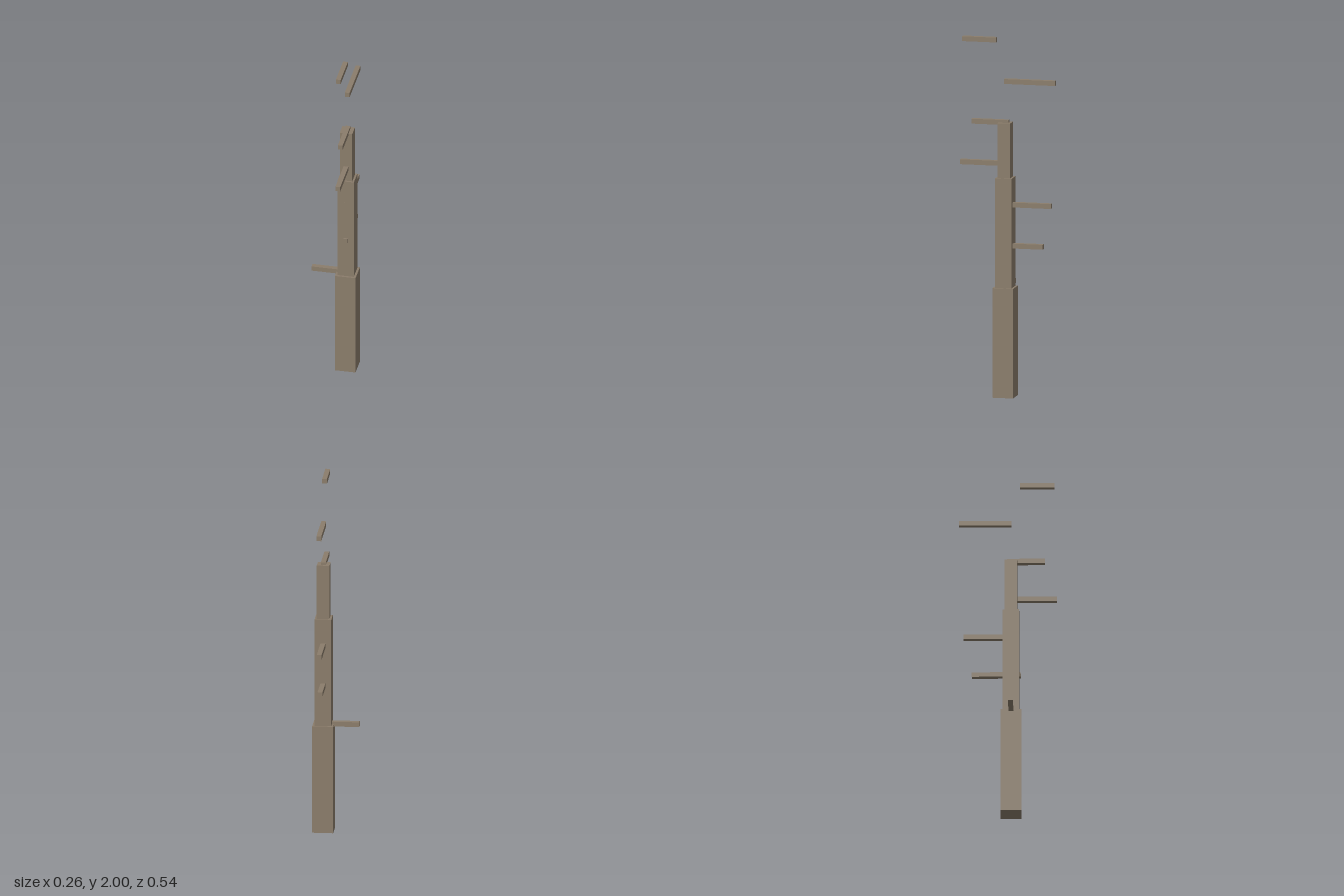
import * as THREE from 'three';

export function createModel() {
  const group = new THREE.Group();
  const bark = new THREE.MeshStandardMaterial({ color: 0x8b7d6b, flatShading: true });
  const cx = 0.069, cz = 0.015; // trunk axis
  const t = 0.027; // branch thickness

  // Box given by its minimum and maximum corners
  function box(name, min, max) {
    const size = max.map((v, i) => v - min[i]);
    const mesh = new THREE.Mesh(new THREE.BoxGeometry(...size), bark);
    mesh.position.set(...max.map((v, i) => (v + min[i]) / 2));
    mesh.name = name;
    group.add(mesh);
  }

  // Stepped trunk: width, bottom, top
  [
    ['lowerTrunk', 0.116, 0, 0.611],
    ['middleTrunk', 0.092, 0.611, 1.222],
    ['upperTrunk', 0.07, 1.222, 1.528],
  ].forEach(([name, w, y0, y1]) =>
    box(name, [cx - w / 2, y0, cz - w / 2], [cx + w / 2, y1, cz + w / 2]));

  // Lowest branch points to the model's right
  const y0 = 0.6135, step = 0.229;
  box('sideBranch', [-0.129, y0 - t / 2, cz - t / 2], [cx, y0 + t / 2, cz + t / 2]);

  // Remaining branches climb evenly, running along z: back end, front end
  [
    [-0.2, 0.069],
    [-0.246, 0.0615],
    [-0.02, 0.267],
    [-0.006, 0.202],
    [-0.269, 0.019],
    [0.064, 0.255],
  ].forEach(([zBack, zFront], i) => {
    const y = y0 + step * (i + 1);
    box('branch' + (i + 1), [cx - t / 2, y - t / 2, zBack], [cx + t / 2, y + t / 2, zFront]);
  });

  return group;
}
